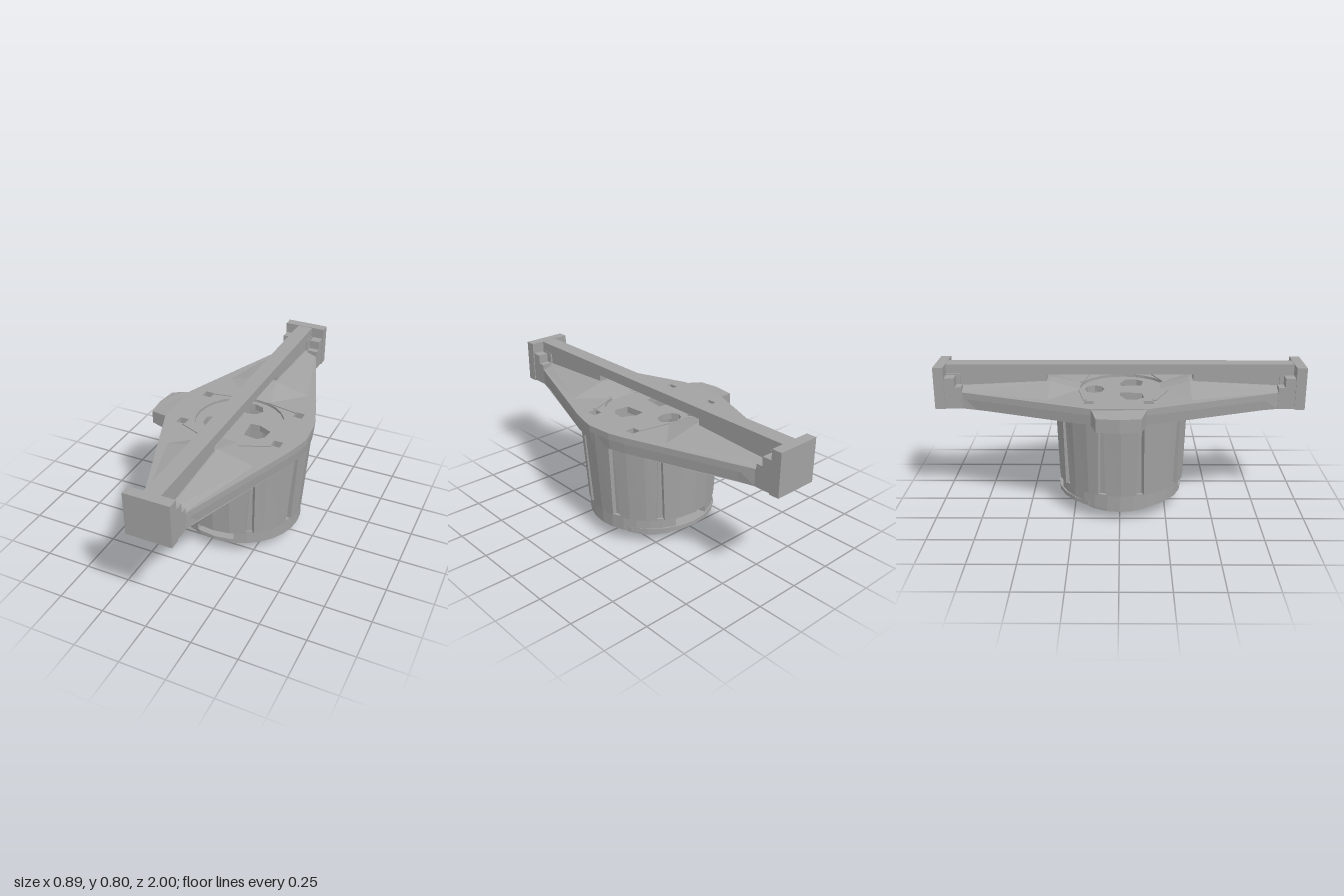
import * as THREE from 'three';

const CX = 0.055; // axis of the housing and of the bar
const grey = new THREE.MeshStandardMaterial({ color: 0xa2a2a2, flatShading: true, side: THREE.DoubleSide });
grey.name = 'castGrey';

export function createModel() {
  const model = new THREE.Group();
  model.name = 'handledHousing';

  function add(name, geometry) {
    const mesh = new THREE.Mesh(geometry, grey);
    mesh.name = name;
    model.add(mesh);
    return mesh;
  }
  function box(name, x0, x1, y0, y1, z0, z1) {
    const m = add(name, new THREE.BoxGeometry(x1 - x0, y1 - y0, Math.abs(z1 - z0)));
    m.position.set((x0 + x1) / 2, (y0 + y1) / 2, (z0 + z1) / 2);
  }
  // Plan outline of [x, z] points
  const plan = (pts, Type = THREE.Shape) => new Type(pts.map(([x, z]) => new THREE.Vector2(x, -z)));
  const polygon = (cx, cz, r, n, turn = 0, rz = r) => Array.from({ length: n }, (_, i) => {
    const a = turn + i / n * Math.PI * 2;
    return [cx + Math.cos(a) * r, cz + Math.sin(a) * rz];
  });
  // Upright slab from a plan outline with holes
  function slab(outline, holes, y0, y1) {
    const shape = plan(outline);
    shape.holes = holes.map((h) => plan(h, THREE.Path));
    const g = new THREE.ExtrudeGeometry(shape, { depth: y1 - y0, bevelEnabled: false });
    return g.rotateX(-Math.PI / 2).translate(0, y0, 0);
  }
  // Straight rib between two plan points
  function rib(name, x0, z0, x1, z1, y0, y1, t) {
    const m = add(name, new THREE.BoxGeometry(t, y1 - y0, Math.hypot(x1 - x0, z1 - z0)));
    m.position.set((x0 + x1) / 2, (y0 + y1) / 2, (z0 + z1) / 2);
    m.rotation.y = Math.atan2(x1 - x0, z1 - z0);
  }

  // Diamond deck: thin top with openings, and a rim wall hanging below
  const right = [[0.17, 0.96], [0.17, 0.85], [0.2, 0.77], [0.41, 0.19], [0.435, 0.1],
    [0.447, 0.04], [0.435, -0.1], [0.41, -0.19], [0.2, -0.77], [0.17, -0.85], [0.17, -0.96]];
  const left = [[-0.06, -0.96], [-0.06, -0.85], [-0.09, -0.77], [-0.33, -0.15],
    [-0.33, 0.14], [-0.09, 0.77], [-0.06, 0.85], [-0.06, 0.96]];
  const outline = [...right, ...left];
  const inner = outline.map(([x, z]) => [x + (x > CX ? -0.035 : 0.035), z * 0.98]);
  const slots = [[-0.22, -0.16], [-0.22, 0.15], [0.325, -0.16], [0.325, 0.15]]
    .map(([x, z]) => polygon(x, z, 0.035, 4, Math.PI / 4));
  add('deckTop', slab(outline, [polygon(CX, 0.02, 0.24, 24), ...slots], 0.625, 0.66));
  const rim = slab(outline, [inner], 0.57, 0.636);
  const rp = rim.attributes.position;
  for (let i = 0; i < rp.count; i++) { // the rim draws in slightly towards its lower edge
    if (rp.getY(i) < 0.6 && Math.abs(rp.getZ(i)) < 0.8) {
      rp.setX(i, rp.getX(i) - Math.sign(rp.getX(i) - CX) * 0.008);
    }
  }
  rim.computeVertexNormals();
  add('deckRim', rim);

  // Sunken centre disc with its openings
  const dHole = (s) => [[0.06, -0.06], [0.11, -0.065], [0.185, -0.03], [0.18, 0.03], [0.15, 0.065], [0.07, 0.055]]
    .map(([x, z]) => [CX + s * x, z + 0.065]);
  add('centreDisc', slab(polygon(CX, 0.02, 0.26, 24),
    [dHole(1), dHole(-1), polygon(CX, -0.14, 0.07, 8, 0, 0.055)], 0.61, 0.645));

  // Low ridges running outward from the disc
  for (const sx of [-1, 1]) for (const sz of [-1, 1]) {
    rib('deckRidge', CX + sx * 0.07, 0.02 + sz * 0.235, CX + sx * 0.25, sz * 0.18, 0.65, 0.666, 0.02);
  }

  // Side tab, sloping down to its tip
  const tab = slab([[-0.32, -0.15], [-0.35, -0.14], [-0.43, -0.12], [-0.445, 0],
    [-0.43, 0.11], [-0.33, 0.14]], [], 0.57, 0.655);
  const tp = tab.attributes.position;
  for (let i = 0; i < tp.count; i++) {
    if (tp.getY(i) > 0.6 && tp.getX(i) < -0.4) tp.setY(i, 0.642);
  }
  tab.computeVertexNormals();
  add('sideTab', tab);

  // Carrying bar
  box('bar', 0.012, 0.1, 0.742, 0.798, -0.97, 0.97);

  for (const s of [-1, 1]) {
    // End block with stepped lugs beside the bar
    box('endBlock', -0.067, 0.175, 0.568, 0.8, s * 0.945, s * 1);
    for (const [x0, x1] of [[-0.062, 0], [0.112, 0.17]]) {
      box('lug', x0, x1, 0.57, 0.74, s * 0.89, s * 0.95);
      box('lugStep', x0, x1, 0.57, 0.69, s * 0.855, s * 0.89);
    }
    box('barFoot', 0.01, 0.102, 0.65, 0.745, s * 0.87, s * 0.95);

    // Sloping roof that rises from the deck towards the bar: [z, half width, height]
    const sections = [[0.22, 0.08, 0.002], [0.38, 0.245, 0.045], [0.88, 0.1, 0.02]];
    const pos = [], idx = [];
    sections.forEach(([z, w, h], i) => {
      [[-w, 0], [-0.045, h], [0.045, h], [w, 0]].forEach(([x, y]) => pos.push(CX + x, 0.659 + y, s * z));
      if (i) for (let j = 0; j < 3; j++) {
        const a = (i - 1) * 4 + j, b = a + 4;
        idx.push(...(s > 0 ? [a, b, a + 1, b, b + 1, a + 1] : [a, a + 1, b, b, a + 1, b + 1]));
      }
    });
    const roof = new THREE.BufferGeometry();
    roof.setAttribute('position', new THREE.Float32BufferAttribute(pos, 3));
    roof.setIndex(idx);
    roof.computeVertexNormals();
    add('deckRoof', roof);
    box('barWeb', 0.02, 0.092, 0.67, 0.745, s * 0.4, s * 0.9);

    // Ribs under the deck
    rib('spineRib', CX, s * 0.33, CX, s * 0.95, 0.58, 0.64, 0.035);
    rib('crossRib', -0.15, s * 0.5, 0.26, s * 0.5, 0.59, 0.64, 0.03);
    rib('crossRib', -0.06, s * 0.72, 0.17, s * 0.72, 0.59, 0.64, 0.03);
    for (const sx of [-1, 1]) rib('diagonalRib', CX, s * 0.7, CX + sx * 0.21, s * 0.45, 0.59, 0.64, 0.03);
  }

  // Tapered housing with vertical grooves that widen downward
  const rad = Math.PI / 180;
  const grooves = [17, 57, 123, 163, 197, 237, 303, 343];
  const ring = (half) => {
    const wall = [];
    for (let d = 0; d < 360; d += 15) {
      if (!grooves.some((g) => Math.abs(g - d) < 6)) wall.push([d, 1]);
    }
    for (const g of grooves) wall.push([g - half - 1, 1], [g - half, 0.94], [g + half, 0.94], [g + half + 1, 1]);
    return wall.sort((a, b) => a[0] - b[0]);
  };
  const housingPos = [], housingIdx = [];
  const levels = [[0.637, 0.8, 0.39, 0.368], [0.155, 2.6, 0.352, 0.35]];
  for (const [y, half, rx, rz] of levels) {
    for (const [d, r] of ring(half)) {
      housingPos.push(CX + Math.cos(d * rad) * r * rx, y, 0.008 + Math.sin(d * rad) * r * rz);
    }
  }
  const n = ring(1).length;
  for (let i = 0; i < n; i++) {
    const j = (i + 1) % n;
    housingIdx.push(i, j, i + n, j, j + n, i + n);
  }
  const housing = new THREE.BufferGeometry();
  housing.setAttribute('position', new THREE.Float32BufferAttribute(housingPos, 3));
  housing.setIndex(housingIdx);
  housing.computeVertexNormals();
  add('housingWall', housing);
  add('housingLiner', slab(polygon(CX, 0, 0.322, 24), [polygon(CX, 0, 0.305, 24)], 0.155, 0.62));

  // Lower wall: two arcs leaving a window at front and back
  for (const start of [-72, 108]) {
    const arc = (r, rz) => Array.from({ length: 13 }, (_, i) => {
      const a = (start + i * 12) * rad;
      return [CX + Math.cos(a) * r, 0.005 + Math.sin(a) * rz];
    });
    add('lowerWall', slab([...arc(0.35, 0.338), ...arc(0.305, 0.295).reverse()], [], 0.08, 0.16));
  }

  // Closed floor, shallow shoulder and bottom collar around a six-sided bore
  add('floor', slab(polygon(CX, 0, 0.345, 24), [], 0.082, 0.105));
  const shoulder = add('shoulder', new THREE.CylinderGeometry(0.345, 0.22, 0.018, 16, 1, true));
  shoulder.position.set(CX, 0.074, 0);
  add('collar', slab(polygon(CX + 0.008, 0, 0.237, 20), [polygon(CX + 0.008, 0, 0.15, 6)], 0.004, 0.08));
  const plug = add('borePlug', new THREE.ConeGeometry(0.15, 0.055, 6));
  plug.rotation.x = Math.PI;
  plug.position.set(CX + 0.008, 0.055, 0);

  return model;
}
